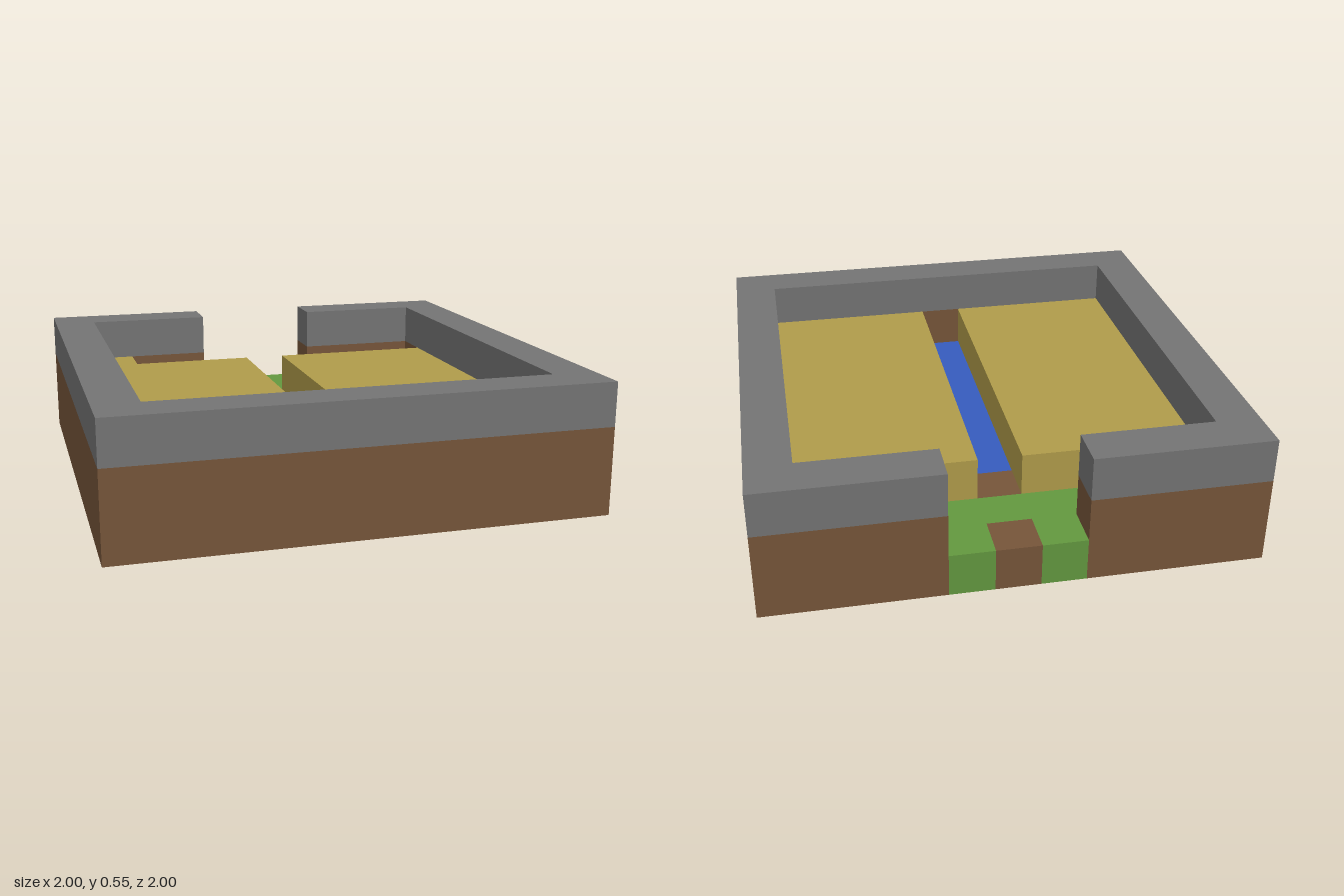
import * as THREE from 'three';

const CELL = 2 / 11; // the plot is an 11 x 11 block grid, three blocks high

export function createModel() {
  const model = new THREE.Group();
  model.name = 'walledFarmPlot';

  const mat = (name, color) => {
    const m = new THREE.MeshStandardMaterial({ color });
    m.name = name;
    return m;
  };
  const stone = mat('stone grey', 0x747474);
  const soil = mat('soil brown', 0x765539);
  const crop = mat('crop yellow', 0xb09c4a);
  const grass = mat('grass green', 0x63983f);
  const water = mat('water blue', 0x365cbe);

  // Block spanning columns i0..i1 (x) and rows j0..j1 (z) of one layer, ends exclusive
  const blocks = (name, material, layer, ranges) => {
    const group = new THREE.Group();
    group.name = name;
    for (const [i0, i1, j0, j1] of ranges) {
      const geo = new THREE.BoxGeometry((i1 - i0) * CELL, CELL, (j1 - j0) * CELL);
      const mesh = new THREE.Mesh(geo, material);
      mesh.name = name + 'Block';
      mesh.position.set((i0 + i1) / 2 * CELL - 1, (layer + 0.5) * CELL, (j0 + j1) / 2 * CELL - 1);
      group.add(mesh);
    }
    model.add(group);
  };

  // Ground layer: soil with the grass path and water channel let into it
  blocks('soilBase', soil, 0, [
    [0, 4, 0, 1], [5, 6, 0, 1], [7, 11, 0, 1],
    [0, 1, 1, 2], [10, 11, 1, 2],
    [0, 11, 2, 3],
    [0, 5, 3, 10], [6, 11, 3, 10],
    [0, 11, 10, 11],
  ]);
  blocks('grassPath', grass, 0, [[1, 10, 1, 2], [4, 5, 0, 1], [6, 7, 0, 1]]);
  blocks('waterChannel', water, 0, [[5, 6, 3, 10]]);

  // Crop beds on both sides of the channel
  blocks('cropBeds', crop, 1, [[1, 2, 1, 2], [1, 5, 2, 10], [6, 10, 2, 10]]);

  // Perimeter wall, open at the back gateway
  const outline = [
    [4, 0], [0, 0], [0, 11], [11, 11], [11, 0], [7, 0],
    [7, 1], [10, 1], [10, 10], [1, 10], [1, 1], [4, 1],
  ].map(([i, j]) => new THREE.Vector2(i * CELL - 1, 1 - j * CELL));
  const wallGeo = new THREE.ExtrudeGeometry(new THREE.Shape(outline), { depth: CELL, bevelEnabled: false });
  wallGeo.rotateX(-Math.PI / 2);
  [['lowerWall', soil], ['upperWall', stone]].forEach(([name, material], k) => {
    const wall = new THREE.Mesh(wallGeo, material);
    wall.name = name;
    wall.position.y = (k + 1) * CELL;
    model.add(wall);
  });

  return model;
}
